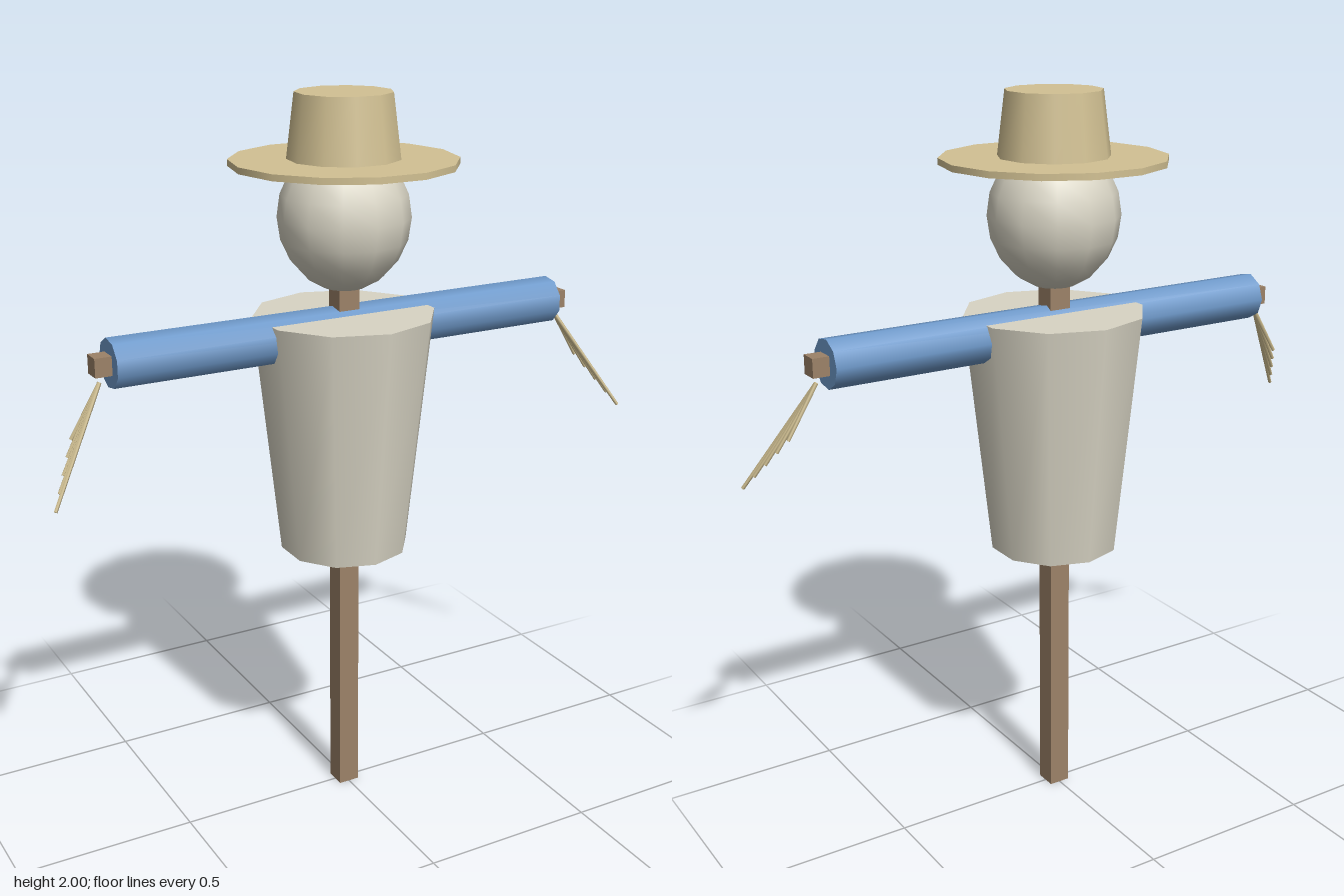
import * as THREE from 'three';

const mat = (color) => new THREE.MeshStandardMaterial({ color });
const wood = mat(0x9c8268), cloth = mat(0xd8d4c4), blue = mat(0x6f9acb), straw = mat(0xd2c193);

export function createModel() {
  const model = new THREE.Group();
  model.name = 'scarecrow';

  const add = (name, geometry, material, y = 0, parent = model) => {
    const mesh = new THREE.Mesh(geometry, material);
    mesh.name = name;
    mesh.position.y = y;
    parent.add(mesh);
    return mesh;
  };
  // Tapered round part standing between two heights
  const round = (name, rTop, rBottom, y0, y1, sides, material, turn = 0) =>
    add(name, new THREE.CylinderGeometry(rTop, rBottom, y1 - y0, sides).rotateY(turn), material, (y0 + y1) / 2);

  // Wooden frame
  add('post', new THREE.BoxGeometry(0.06, 1.6, 0.06), wood, 0.8);
  add('crossbar', new THREE.BoxGeometry(1.42, 0.05, 0.05), wood, 1.38);

  // Body and sleeves
  round('torso', 0.247, 0.177, 0.76, 1.425, 10, cloth);
  const sleeve = new THREE.CylinderGeometry(0.065, 0.065, 1.33, 9).rotateY(Math.PI).rotateZ(Math.PI / 2);
  add('sleeves', sleeve, blue, 1.38);

  // Head
  add('head', new THREE.SphereGeometry(0.176, 12, 10).scale(1, 1.1, 1), cloth, 1.68);

  // Hat
  round('hatBrim', 0.3, 0.3, 1.815, 1.832, 14, straw, Math.PI / 2);
  round('hatCrown', 0.128, 0.15, 1.825, 2, 11, straw, Math.PI);

  // Straw hands: a fan of tapered stalks, mirrored for each arm
  const up = new THREE.Vector3(0, 1, 0);
  for (const side of [1, -1]) {
    const hand = new THREE.Group();
    hand.name = side > 0 ? 'leftHand' : 'rightHand';
    const start = new THREE.Vector3(side * 0.692, 1.335, 0);
    for (let i = 0; i < 5; i++) {
      const y = 1.2 - 0.035 * i;
      const end = new THREE.Vector3(side * (0.692 + (1.335 - y) * 0.61), y, 0.0265 * i);
      const dir = start.clone().sub(end);
      const stalk = add('strawStalk', new THREE.CylinderGeometry(0.006, 0.005, dir.length(), 5), straw, 0, hand);
      stalk.position.copy(start).add(end).multiplyScalar(0.5);
      stalk.quaternion.setFromUnitVectors(up, dir.normalize());
    }
    model.add(hand);
  }
  return model;
}
